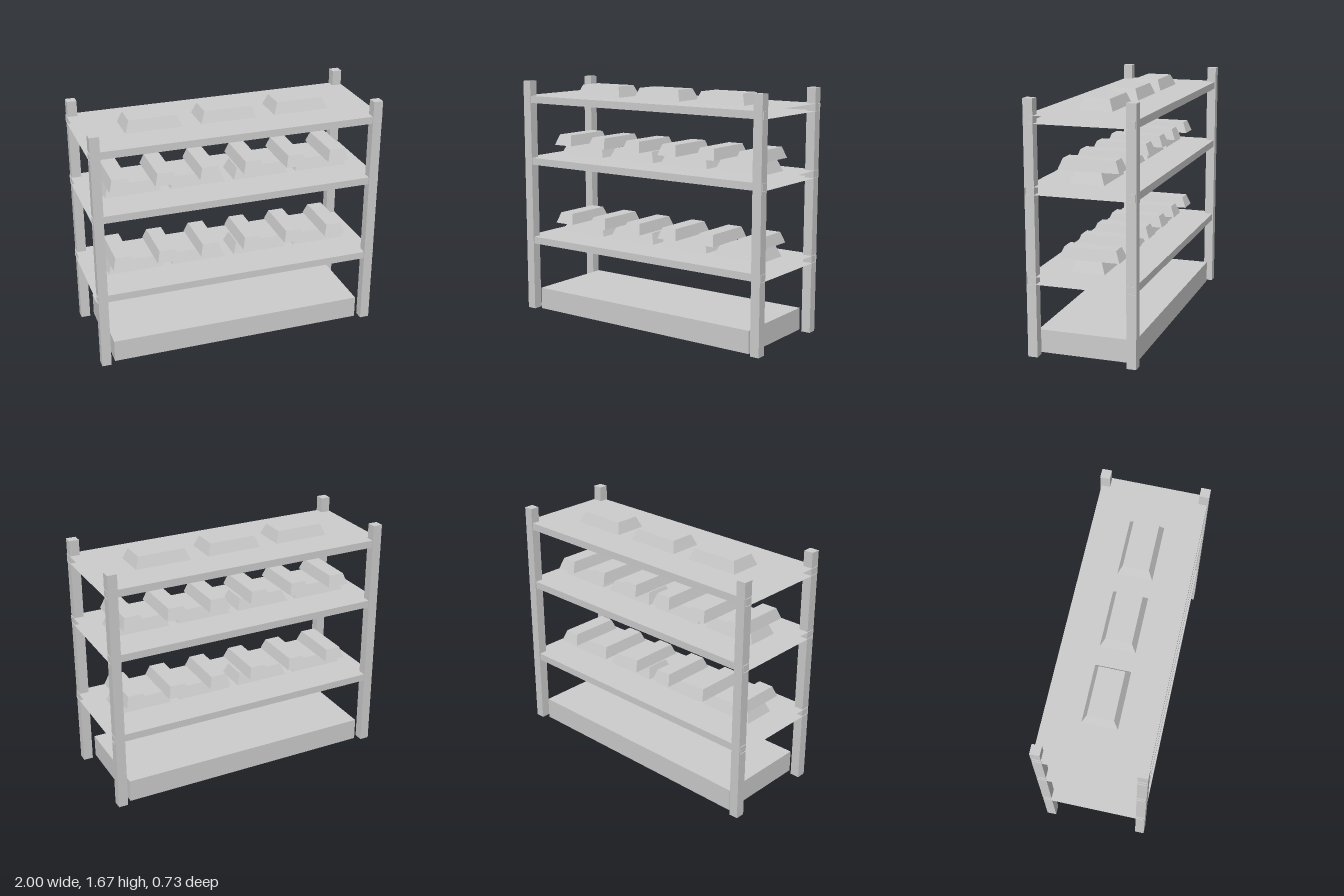
import * as THREE from 'three';

const steel = new THREE.MeshStandardMaterial({ color: 0xcccccc, side: THREE.DoubleSide });
steel.name = 'light grey';

// Box side numbers: 0 +x, 1 -x, 2 +y, 3 -y, 4 +z, 5 -z
function openBox(w, h, d, openSides) {
  const geo = new THREE.BoxGeometry(w, h, d);
  const index = Array.from(geo.index.array);
  geo.setIndex(index.filter((v, i) => !openSides.includes(Math.floor(i / 6))));
  geo.clearGroups();
  return geo;
}

// Bar with sloped sides, standing on y = 0
function barGeometry(w, d) {
  const h = 0.075, inset = 0.03;
  const geo = new THREE.BoxGeometry(w, h, d).toNonIndexed();
  const p = geo.attributes.position;
  for (let i = 0; i < p.count; i++) {
    if (p.getY(i) > 0) {
      p.setX(i, Math.sign(p.getX(i)) * (w / 2 - inset * (w < d ? 0.75 : 1)));
      p.setZ(i, Math.sign(p.getZ(i)) * (d / 2 - inset));
    }
  }
  geo.translate(0, h / 2, 0);
  geo.computeVertexNormals();
  return geo;
}

export function createModel() {
  const model = new THREE.Group();
  model.name = 'storageRack';
  const add = (name, geo, x, y, z) => {
    const mesh = new THREE.Mesh(geo, steel);
    mesh.name = name;
    mesh.position.set(x, y, z);
    model.add(mesh);
  };

  // Corner posts, open underneath
  const post = openBox(0.065, 1.67, 0.065, [3]);
  for (const x of [-1, 1]) {
    for (const z of [-1, 1]) add('cornerPost', post, x * 0.9625, 0.835, z * 0.3325);
  }

  // Plinth, open underneath
  add('plinth', openBox(1.795, 0.155, 0.66, [3]), 0, 0.0775, 0);

  // Shelves, open at both ends
  const shelf = openBox(2, 0.05, 0.716, [0, 1]);
  for (const top of [0.54, 1.12, 1.565]) add('shelf', shelf, 0, top - 0.025, 0);

  // Two crossed layers of bars on the lower shelves
  const longBar = barGeometry(0.385, 0.23);
  const crossBar = barGeometry(0.153, 0.41);
  for (const y of [0.555, 1.13]) {
    for (let i = 0; i < 4; i++) add('lowerBar', longBar, -0.67 + i * 0.449, y, 0);
    for (let i = 0; i < 6; i++) add('crossBar', crossBar, -0.772 + i * 0.308, y + 0.075, 0);
  }

  // Single row on the top shelf
  for (let i = -1; i <= 1; i++) add('topBar', longBar, i * 0.513, 1.566, 0);

  return model;
}
